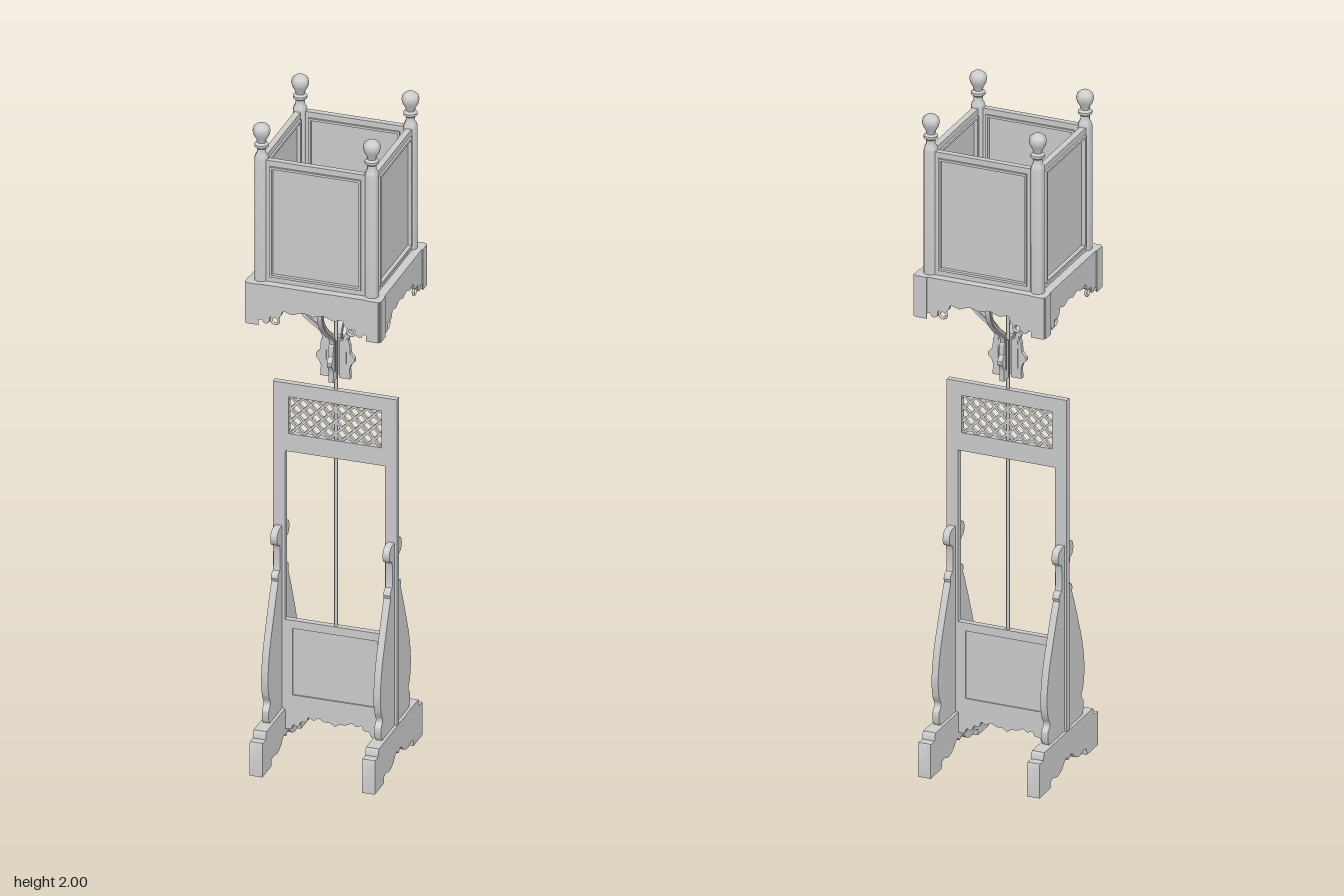
import * as THREE from 'three';
import { toCreasedNormals } from 'three/addons/utils/BufferGeometryUtils.js';

const mat = new THREE.MeshStandardMaterial({ color: 0xcccccc });
const V = (p) => new THREE.Vector2(p[0], p[1]);

function add(parent, name, geo, x = 0, y = 0, z = 0) {
  const m = new THREE.Mesh(geo, mat);
  m.name = name;
  m.position.set(x, y, z);
  parent.add(m);
  return m;
}
const box = (parent, name, w, h, d, x, y, z) => add(parent, name, new THREE.BoxGeometry(w, h, d), x, y, z);

// Flat board cut from an outline, centred on its thickness
function board(points, depth, holes = []) {
  const shape = new THREE.Shape(points.map(V));
  holes.forEach((h) => shape.holes.push(new THREE.Path(h.map(V))));
  const g = new THREE.ExtrudeGeometry(shape, { depth, bevelEnabled: false, curveSegments: 8 });
  g.translate(0, 0, -depth / 2);
  return toCreasedNormals(g, 0.6);
}
const rect = (x0, y0, x1, y1) => [[x0, y0], [x1, y0], [x1, y1], [x0, y1]];
// Outline mirrored across x = 0, given its right half
const mirrored = (half) => [...half, ...half.filter((p) => p[0] > 0).reverse().map(([x, y]) => [-x, y])];
// Smooth run of points through a few controls
const spline = (pts, n = 40) => new THREE.SplineCurve(pts.map(V)).getPoints(n).map((p) => [p.x, p.y]);

// Band of constant width following a flat curve
function band(pts, width, depth, n = 70) {
  const c = new THREE.SplineCurve(pts.map(V));
  const a = [], b = [];
  for (let i = 0; i <= n; i++) {
    const p = c.getPoint(i / n), t = c.getTangent(i / n);
    a.push([p.x - t.y * width / 2, p.y + t.x * width / 2]);
    b.unshift([p.x + t.y * width / 2, p.y - t.x * width / 2]);
  }
  return board([...a, ...b], depth);
}

function buildStand(root) {
  const stand = new THREE.Group();
  stand.name = 'stand';
  root.add(stand);

  // Upright frame with a lattice window and a tall opening
  add(stand, 'uprightFrame', board(rect(-0.182, 0.12, 0.182, 1.13), 0.018,
    [rect(-0.137, 0.975, 0.137, 1.088), rect(-0.147, 0.4, 0.147, 0.92), rect(-0.125, 0.17, 0.125, 0.375)]));
  box(stand, 'lowerPanel', 0.26, 0.215, 0.01, 0, 0.272, 0);

  // Diagonal interlocking lattice, clipped to the window
  const d = 0.0265, r = Math.SQRT1_2, hw = 0.137, hh = 0.0565;
  for (let i = -7; i <= 7; i++) for (let j = -7; j <= 7; j++) {
    const cx = (i - j) * d * r, cy = (i + j) * d * r;
    const s = (i + j) % 2 === 0 ? 1 : -1;
    const span = (c, dir, h) => [(-h - c) / dir, (h - c) / dir].sort((p, q) => p - q);
    const sx = span(cx, r, hw), sy = span(cy, r * s, hh);
    const t0 = Math.max(-d, sx[0], sy[0]), t1 = Math.min(d, sx[1], sy[1]);
    if (t1 - t0 < 0.003) continue;
    const t = (t0 + t1) / 2;
    const bar = box(stand, 'latticeBar', t1 - t0 + 0.004, 0.0075, 0.01, cx + t * r, 1.0315 + cy + t * r * s, 0);
    bar.rotation.z = s * Math.PI / 4;
  }

  // Scalloped apron below the panel
  add(stand, 'apron', board(mirrored([[0, 0.13], [0.147, 0.13], [0.147, 0.063],
    ...spline([[0.128, 0.063], [0.122, 0.078], [0.108, 0.074], [0.1, 0.09], [0.084, 0.092], [0.078, 0.106],
      [0.062, 0.1], [0.05, 0.108], [0.03, 0.1], [0.015, 0.1], [0, 0.09]])]), 0.016));

  // Stepped feet
  const foot = mirrored([[0, 0.125], [0.165, 0.125], [0.17, 0.118], [0.172, 0.103], [0.197, 0.103], [0.2, 0.098],
    [0.2, 0], [0.125, 0], [0.122, 0.02],
    ...spline([[0.105, 0.024], [0.088, 0.018], [0.07, 0.017], [0.045, 0.026], [0.025, 0.044], [0.012, 0.046], [0, 0.036]], 24)]);
  // Curved wing braces against the uprights
  const wing = [[0.008, 0.125], [0.112, 0.125],
    ...spline([[0.122, 0.14], [0.122, 0.165], [0.108, 0.185], [0.122, 0.215], [0.128, 0.27], [0.115, 0.345],
      [0.088, 0.42], [0.06, 0.49], [0.042, 0.53]]),
    ...spline([[0.046, 0.54], [0.04, 0.553], [0.028, 0.56], [0.026, 0.6], [0.03, 0.635], [0.044, 0.642],
      [0.052, 0.66], [0.046, 0.68], [0.03, 0.688]], 30), [0.008, 0.688]];
  for (const s of [-1, 1]) {
    add(stand, 'foot', board(foot, 0.038), s * 0.165).rotation.y = -Math.PI / 2;
    for (const f of [-1, 1]) add(stand, 'wingBrace', board(wing, 0.02), s * 0.165).rotation.y = f * Math.PI / 2;
  }
}

function buildSupport(root) {
  add(root, 'centreRod', new THREE.CylinderGeometry(0.005, 0.005, 1.12, 10), 0, 0.95, 0);

  // Four scrolled brackets around the rod
  const scroll = band([[0.03, 1.26], [0.036, 1.305], [0.085, 1.345], [0.122, 1.385], [0.134, 1.425], [0.112, 1.456],
    [0.075, 1.456], [0.046, 1.437], [0.046, 1.407], [0.07, 1.396], [0.088, 1.414], [0.076, 1.43]], 0.015, 0.014);
  const bead = band([[0.03, 1.2], [0.03, 1.26], [0.036, 1.305], [0.085, 1.345], [0.122, 1.385], [0.134, 1.425]], 0.007, 0.018, 40);
  const base = board([[0.012, 1.17], [0.044, 1.17], [0.042, 1.2], [0.047, 1.215], [0.057, 1.225], [0.057, 1.235],
    [0.044, 1.25], [0.042, 1.28], [0.034, 1.29], [0.012, 1.285]], 0.014);
  for (let k = 0; k < 4; k++) {
    const bracket = new THREE.Group();
    bracket.name = 'bracket';
    bracket.rotation.y = k * Math.PI / 2;
    add(bracket, 'bracketScroll', scroll);
    add(bracket, 'bracketBead', bead);
    add(bracket, 'bracketBase', base);
    box(bracket, 'bracketTenon', 0.016, 0.055, 0.014, 0.11, 1.483, 0);
    root.add(bracket);
  }
}

function buildLantern(root) {
  const lantern = new THREE.Group();
  lantern.name = 'lantern';
  root.add(lantern);
  box(lantern, 'trayFloor', 0.394, 0.016, 0.394, 0, 1.512, 0);

  // Skirt with a scrolled lower edge
  const skirt = board(mirrored([[0, 1.52], [0.197, 1.52], [0.197, 1.395], [0.165, 1.395],
    ...spline([[0.162, 1.408], [0.15, 1.412], [0.142, 1.402], [0.128, 1.406], [0.124, 1.424], [0.108, 1.422],
      [0.094, 1.43], [0.086, 1.446], [0.06, 1.44], [0.03, 1.45], [0, 1.442]])]), 0.012);
  // Wall frame, glazing panel and raised mouldings
  const wall = board(rect(-0.148, 1.52, 0.148, 1.893), 0.018, [rect(-0.128, 1.542, 0.128, 1.87)]);
  const moulding = board(rect(-0.134, 1.536, 0.134, 1.876), 0.03, [rect(-0.127, 1.543, 0.127, 1.869)]);
  // Turned corner post with a bulb finial
  const post = new THREE.LatheGeometry([[0, 1.515], [0.02, 1.515], [0.02, 1.515], [0.02, 1.893], [0.018, 1.903],
    [0.013, 1.912], [0.013, 1.924], [0.02, 1.93], [0.02, 1.937], [0.012, 1.942], [0.015, 1.953], [0.022, 1.965],
    [0.025, 1.978], [0.022, 1.99], [0.012, 1.998], [0, 2]].map(V), 24);

  for (let k = 0; k < 4; k++) {
    const side = new THREE.Group();
    side.name = 'lanternSide';
    side.rotation.y = k * Math.PI / 2;
    add(side, 'skirt', skirt, 0, 0, 0.191);
    // Small hanging curls and corner lips on the skirt
    for (const s of [-1, 1]) {
      add(side, 'skirtCurl', new THREE.TorusGeometry(0.011, 0.004, 8, 18), s * 0.112, 1.413, 0.191);
      box(side, 'skirtLip', 0.036, 0.125, 0.003, s * 0.176, 1.4575, 0.1985);
    }
    add(side, 'wallFrame', wall, 0, 0, 0.163);
    add(side, 'wallMoulding', moulding, 0, 0, 0.163);
    box(side, 'wallPanel', 0.262, 0.334, 0.008, 0, 1.706, 0.163);
    add(side, 'cornerPost', toCreasedNormals(post, 0.8), 0.162, 0, 0.162);
    lantern.add(side);
  }
}

export function createModel() {
  const root = new THREE.Group();
  root.name = 'lanternStand';
  buildStand(root);
  buildSupport(root);
  buildLantern(root);
  return root;
}
